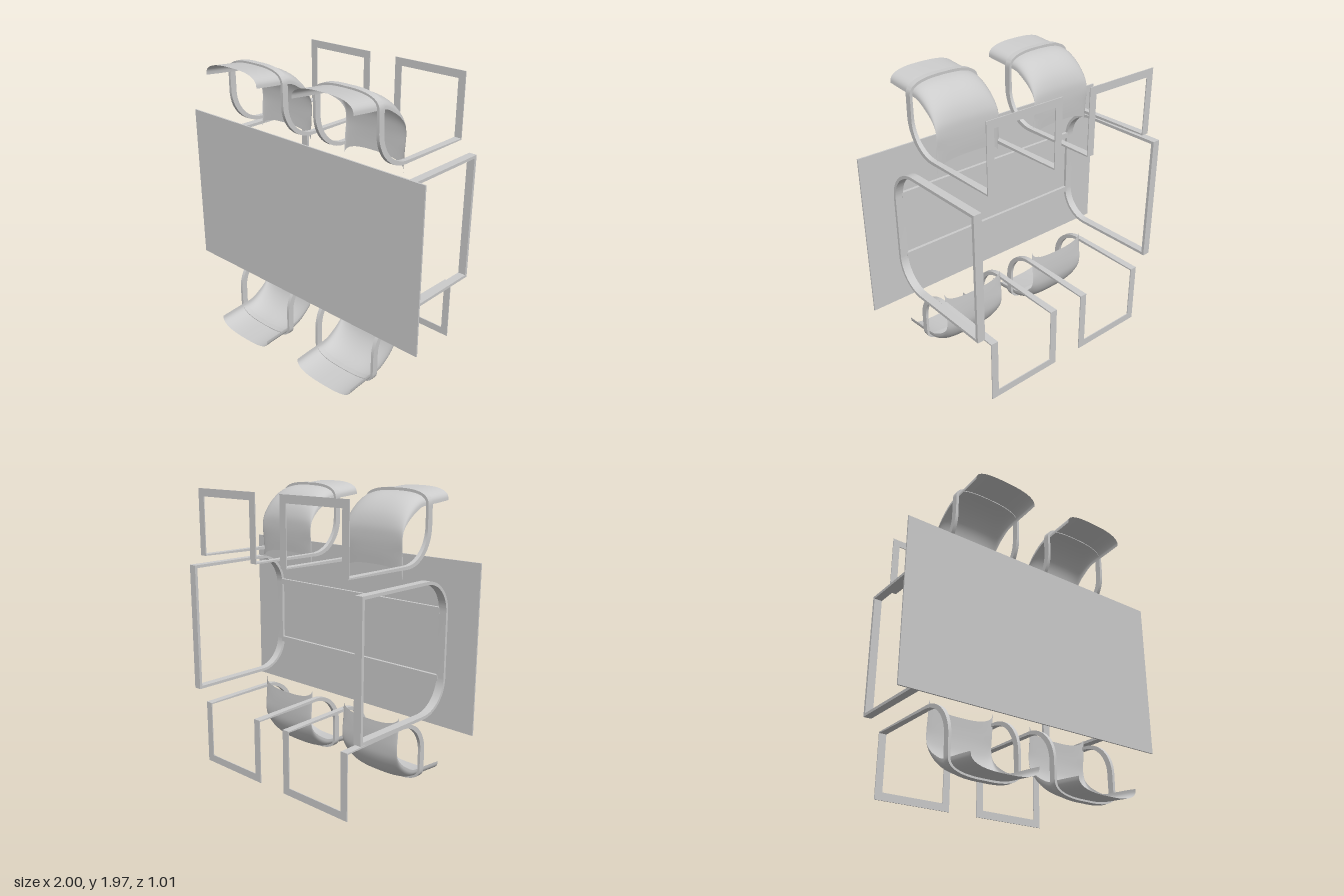
import * as THREE from 'three';
import { toCreasedNormals } from 'three/addons/utils/BufferGeometryUtils.js';

const grey = new THREE.MeshStandardMaterial({ color: 0xcccccc });
const greySheet = new THREE.MeshStandardMaterial({ color: 0xcccccc, side: THREE.DoubleSide });
const V = (x, y, z) => new THREE.Vector3(x, y, z);
const H = 1.98; // overall height, everything mirrors about its middle

function add(parent, name, geometry, material = grey) {
  const mesh = new THREE.Mesh(geometry, material);
  mesh.name = name;
  parent.add(mesh);
  return mesh;
}

function box(parent, name, x0, x1, y0, y1, z0, z1) {
  const mesh = add(parent, name, new THREE.BoxGeometry(x1 - x0, y1 - y0, z1 - z0));
  mesh.position.set((x0 + x1) / 2, (y0 + y1) / 2, (z0 + z1) / 2);
}

// Grid of points (rows x cols) joined into a surface
function gridGeometry(rows, closed) {
  const n = rows[0].length, pos = [], index = [];
  rows.forEach(r => r.forEach(p => pos.push(p.x, p.y, p.z)));
  for (let i = 0; i < rows.length - 1; i++) {
    for (let j = 0; j < (closed ? n : n - 1); j++) {
      const k = (j + 1) % n, a = i * n + j, b = i * n + k, c = a + n, d = b + n;
      index.push(a, b, d, a, d, c);
    }
  }
  const g = new THREE.BufferGeometry();
  g.setAttribute('position', new THREE.Float32BufferAttribute(pos, 3));
  g.setIndex(index);
  g.computeVertexNormals();
  return g;
}

// Rounded-rectangle outline whose corners are round only at the table-top end (+x of the shape)
function legOutline(target, x0, x1, y0, y1, r) {
  target.moveTo(x0, y0);
  target.lineTo(x1 - r, y0);
  target.absarc(x1 - r, y0 + r, r, -Math.PI / 2, 0, false);
  target.lineTo(x1, y1 - r);
  target.absarc(x1 - r, y1 - r, r, 0, Math.PI / 2, false);
  target.lineTo(x0, y1);
  target.closePath();
  return target;
}

function makeTable() {
  const table = new THREE.Group();
  table.name = 'table';
  box(table, 'tableTop', -1, 1, 0.435, 1.545, 0.329, 0.339);

  // Hoop legs
  const shape = legOutline(new THREE.Shape(), -0.502, 0.329, 0.55, 1.434, 0.225);
  shape.holes.push(legOutline(new THREE.Path(), -0.482, 0.309, 0.57, 1.414, 0.205));
  const hoop = new THREE.ExtrudeGeometry(shape, { depth: 0.056, bevelEnabled: false, curveSegments: 20 });
  hoop.rotateY(-Math.PI / 2); // shape x -> z, depth -> -x
  const hoopGeometry = toCreasedNormals(hoop, 0.5);
  for (const x of [-0.722, 0.778]) add(table, 'tableLeg', hoopGeometry).position.x = x;

  // Rails under the top
  for (const y of [0.745, 1.195]) box(table, 'tableRail', -0.73, 0.73, y, y + 0.04, 0.307, 0.329);
  return table;
}

// Quarter of a squarish ellipse: t = 0 at the middle, 1 at the side
const POWER = 2.7;
function squareRound(t) {
  const a = t * Math.PI / 2;
  return [Math.pow(Math.sin(a), 2 / POWER), 1 - Math.pow(Math.max(0, Math.cos(a)), 2 / POWER)];
}

// Bent shell: backrest running into the seat, lofted between a middle line and a side line
function shellGeometry() {
  const curve = pts => new THREE.CatmullRomCurve3(pts.map(([z, y]) => V(0, y, z)));
  const middle = curve([[0.505, 0.004], [0.4, 0.013], [0.3, 0.023], [0.21, 0.038], [0.135, 0.078],
    [0.075, 0.145], [0.042, 0.225], [0.034, 0.3], [0.035, 0.39], [0.04, 0.47]]);
  const side = curve([[0.505, 0.09], [0.4, 0.1], [0.3, 0.108], [0.22, 0.118], [0.15, 0.155],
    [0.09, 0.2], [0.05, 0.25], [0.037, 0.31], [0.046, 0.42], [0.052, 0.55]]);
  const rows = [];
  for (let i = 0; i <= 40; i++) {
    const m = middle.getPoint(i / 40), s = side.getPoint(i / 40), row = [];
    for (let j = -14; j <= 14; j++) {
      const [u, f] = squareRound(Math.abs(j) / 14);
      row.push(V(Math.sign(j) * u * 0.238, m.y + (s.y - m.y) * f, m.z + (s.z - m.z) * f));
    }
    rows.push(row);
  }
  return gridGeometry(rows, false);
}

// One continuous bar: front leg, armrest, round the back, and down again
function legAndArmGeometry() {
  const half = []; // p: centre, b: cross-section axis, w and h: sizes across and along b
  for (let i = 0; i <= 4; i++) {
    const t = i / 4;
    half.push({ p: V(0.251 - 0.003 * t, 0.465 + 0.006 * t, -0.487 + 0.547 * t), b: V(0, 1, 0),
      w: 0.052 - 0.016 * t, h: 0.009 + 0.012 * t });
  }
  for (let i = 1; i <= 16; i++) {
    const t = i / 16, a = t * Math.PI / 2;
    half.push({ p: V(0.248, 0.24 + 0.231 * Math.cos(a), 0.06 + 0.228 * Math.sin(a)),
      b: V(0, Math.cos(a), Math.sin(a)), w: 0.036 - 0.016 * t, h: 0.021 + 0.023 * t });
  }
  for (let i = 0; i < 20; i++) {
    const [u, f] = squareRound(1 - i / 20);
    half.push({ p: V(0.248 * u, 0.018 + 0.095 * f, 0.288), b: V(0, 0, 1), w: 0.018, h: 0.044 });
  }
  const mirrored = half.map(s => ({ ...s, p: V(-s.p.x, s.p.y, s.p.z) })).reverse();
  const path = [...half, { p: V(0, 0.018, 0.288), b: V(0, 0, 1), w: 0.016, h: 0.044 }, ...mirrored];
  const rows = path.map((s, i) => {
    const before = path[Math.max(0, i - 1)].p, after = path[Math.min(path.length - 1, i + 1)].p;
    const a = V().crossVectors(s.b, after.clone().sub(before)).normalize();
    return [[1, -1], [1, 1], [-1, 1], [-1, -1]].map(([p, q]) =>
      s.p.clone().addScaledVector(a, p * s.w / 2).addScaledVector(s.b, q * s.h / 2));
  });
  return toCreasedNormals(gridGeometry(rows, true), 0.7);
}

const shell = shellGeometry();
const legAndArm = legAndArmGeometry();

function makeChair() {
  const chair = new THREE.Group();
  chair.name = 'chair';
  add(chair, 'seatShell', shell, greySheet);
  add(chair, 'legsAndArmrest', legAndArm);
  // Flat floor runner, open at the front
  for (const s of [-1, 1]) {
    const [x0, x1] = s > 0 ? [0.225, 0.277] : [-0.277, -0.225];
    box(chair, 'footSide', x0, x1, 0.025, 0.47, -0.49, -0.484);
  }
  box(chair, 'footBack', -0.225, 0.225, 0.025, 0.077, -0.49, -0.484);
  return chair;
}

export function createModel() {
  const model = new THREE.Group();
  model.name = 'diningSet';
  model.add(makeTable());
  for (const x of [-0.388, 0.388]) {
    const lower = makeChair();
    lower.position.x = x;
    const upper = makeChair();
    upper.rotation.z = Math.PI;
    upper.position.set(x, H, 0);
    model.add(lower, upper);
  }
  return model;
}
